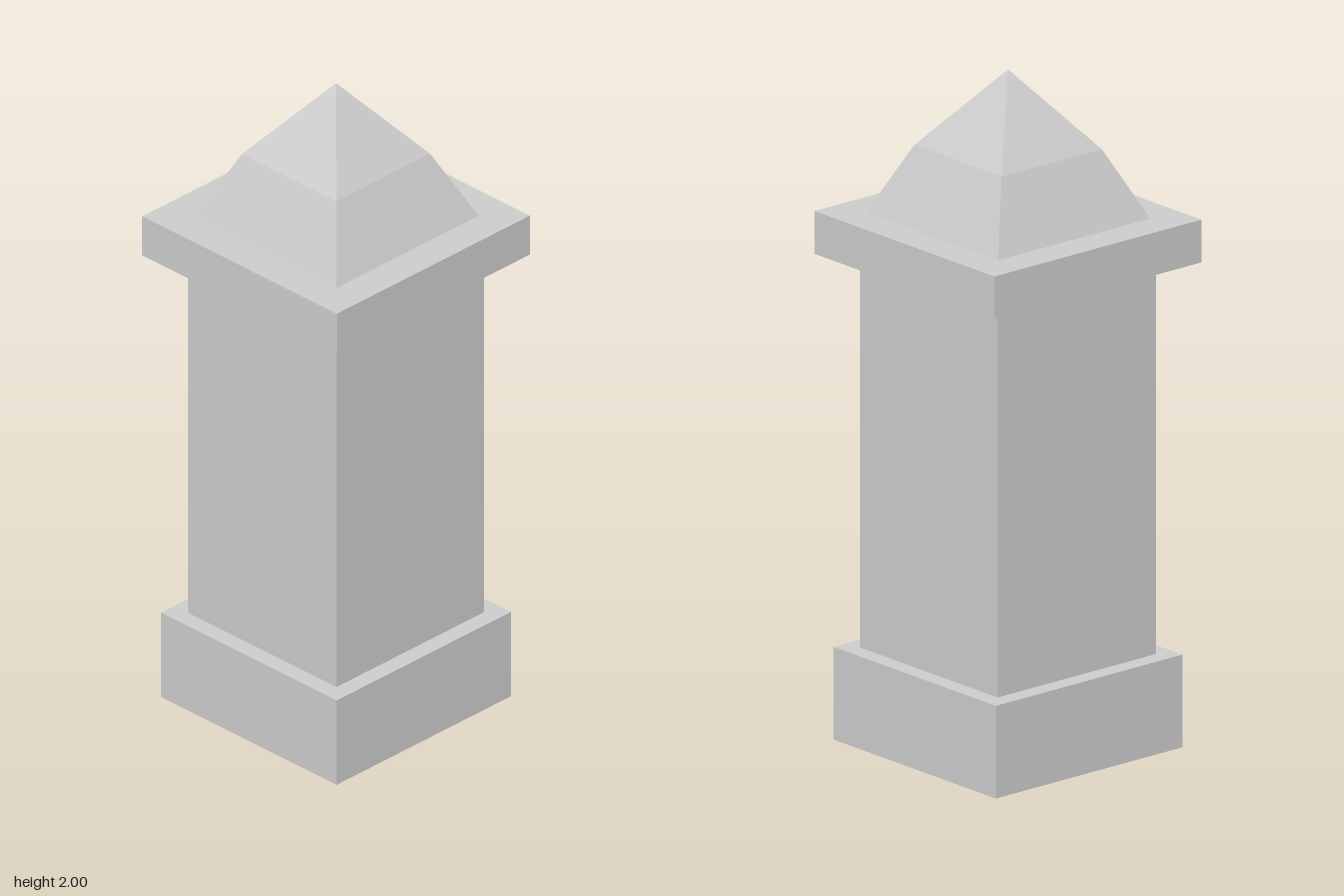
import * as THREE from 'three';

export function createModel() {
  const group = new THREE.Group();
  const material = new THREE.MeshStandardMaterial({ color: 0xcccccc, flatShading: true });

  function add(name, geometry, y) {
    const mesh = new THREE.Mesh(geometry, material);
    mesh.name = name;
    mesh.position.y = y;
    group.add(mesh);
  }

  // Square block between two heights
  function block(name, half, y0, y1) {
    add(name, new THREE.BoxGeometry(half * 2, y1 - y0, half * 2), (y0 + y1) / 2);
  }

  // Open four-sided tier, tapering from one half-width to another
  function tier(name, half0, half1, y0, y1) {
    const r = Math.SQRT2;
    const geometry = half1 > 0
      ? new THREE.CylinderGeometry(half1 * r, half0 * r, y1 - y0, 4, 1, true, Math.PI / 4)
      : new THREE.ConeGeometry(half0 * r, y1 - y0, 4, 1, true, Math.PI / 4);
    add(name, geometry, (y0 + y1) / 2);
  }

  // Pillar
  block('base', 0.348, 0, 0.275);
  block('shaft', 0.295, 0.275, 1.44);
  block('capSlab', 0.386, 1.44, 1.567);

  // Two-pitch pyramid on top
  tier('lowerRoof', 0.284, 0.187, 1.567, 1.77);
  tier('upperRoof', 0.187, 0, 1.77, 2);

  return group;
}
